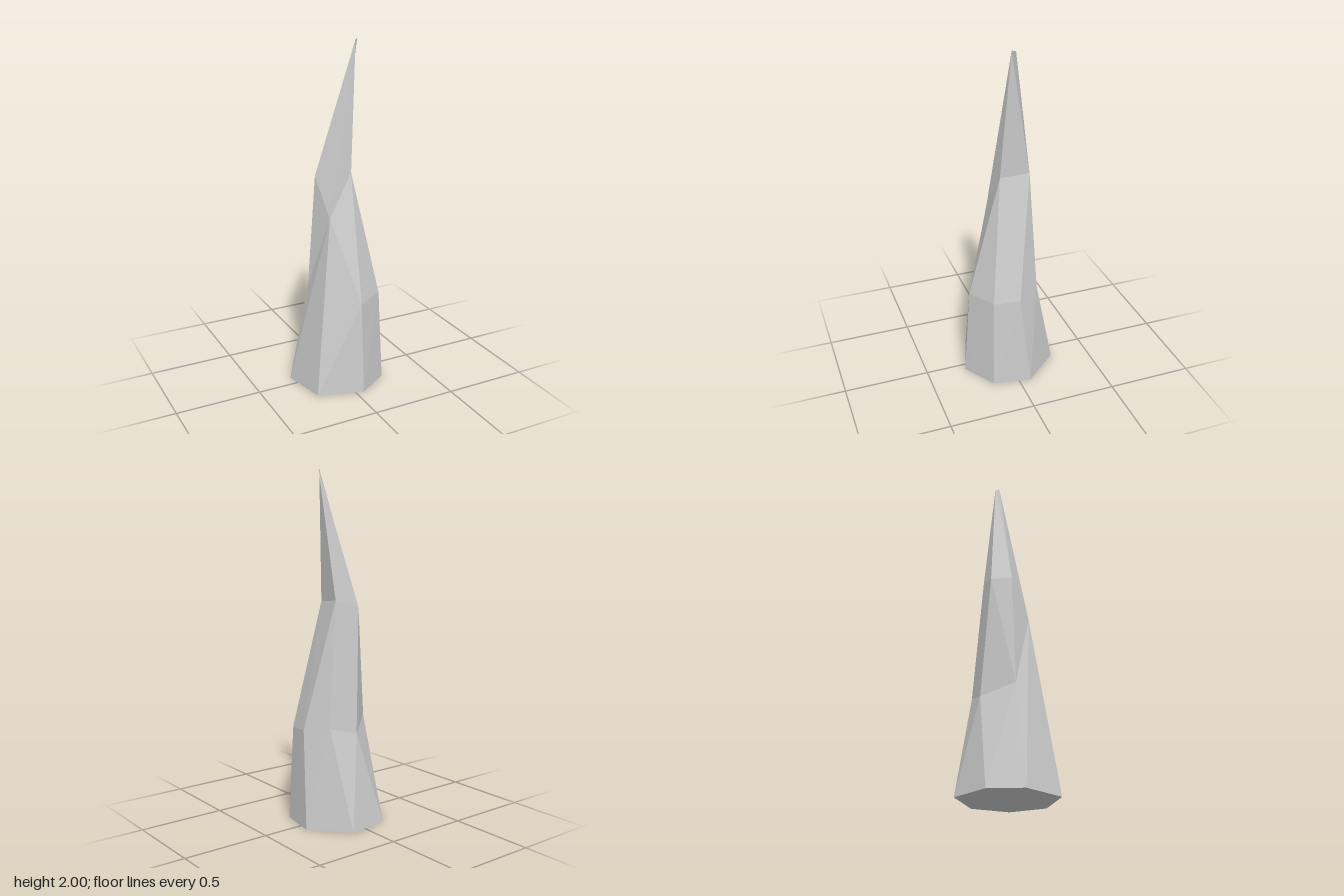
import * as THREE from 'three';

// Cross-sections of seven corners [x, y, z], clockwise from above starting at the back.
// Repeated corners are where neighbouring edges merge.
const base = [
  [0.095, 0, -0.274], [0.271, 0, -0.069], [0.233, 0, 0.153], [0.044, 0, 0.272],
  [-0.213, 0, 0.189], [-0.272, 0, -0.069], [-0.154, 0, -0.235],
];
const frontNotch = [-0.08, 1.03, 0.083];
const waist = [
  [0.158, 0.58, -0.142], [0.243, 0.56, 0.01 - 0.02], [0.209, 0.55, 0.139], [0.045, 0.545, 0.235],
  frontNotch, [-0.155, 0.6, -0.053], [0, 0.54, -0.182],
];
const backBend = [0.095, 1.29, -0.112];
const sideBend = [0.069, 1.272, 0.052];
const shoulder = [
  backBend, backBend, sideBend, sideBend,
  frontNotch, [-0.108, 1.25, -0.047], [-0.04, 1.25, -0.145],
];
const tipFront = [0.117, 2, 0.004];
const tipBack = [0.135, 2, -0.013];
const tip = [tipBack, tipBack, tipFront, tipFront, tipFront, tipFront, tipBack];

export function createModel() {
  const positions = [];
  const triangle = (a, b, c) => {
    if (a !== b && b !== c && c !== a) positions.push(...a, ...b, ...c);
  };

  // Join two cross-sections; "rising" picks the diagonal of each facet
  const band = (low, high, rising) => {
    for (let i = 0; i < low.length; i++) {
      const j = (i + 1) % low.length;
      if (rising) {
        triangle(low[i], high[i], high[j]);
        triangle(low[i], high[j], low[j]);
      } else {
        triangle(low[i], high[i], low[j]);
        triangle(low[j], high[i], high[j]);
      }
    }
  };
  band(base, waist, false);
  band(waist, shoulder, true);
  band(shoulder, tip, true);

  // Flat underside
  for (let i = 1; i < base.length - 1; i++) triangle(base[0], base[i], base[i + 1]);

  const geometry = new THREE.BufferGeometry();
  geometry.setAttribute('position', new THREE.Float32BufferAttribute(positions, 3));
  geometry.computeVertexNormals();

  const spike = new THREE.Mesh(
    geometry,
    new THREE.MeshStandardMaterial({ color: 0xcccccc, flatShading: true })
  );
  spike.name = 'rockSpike';

  const group = new THREE.Group();
  group.name = 'rockSpire';
  group.add(spike);
  return group;
}
